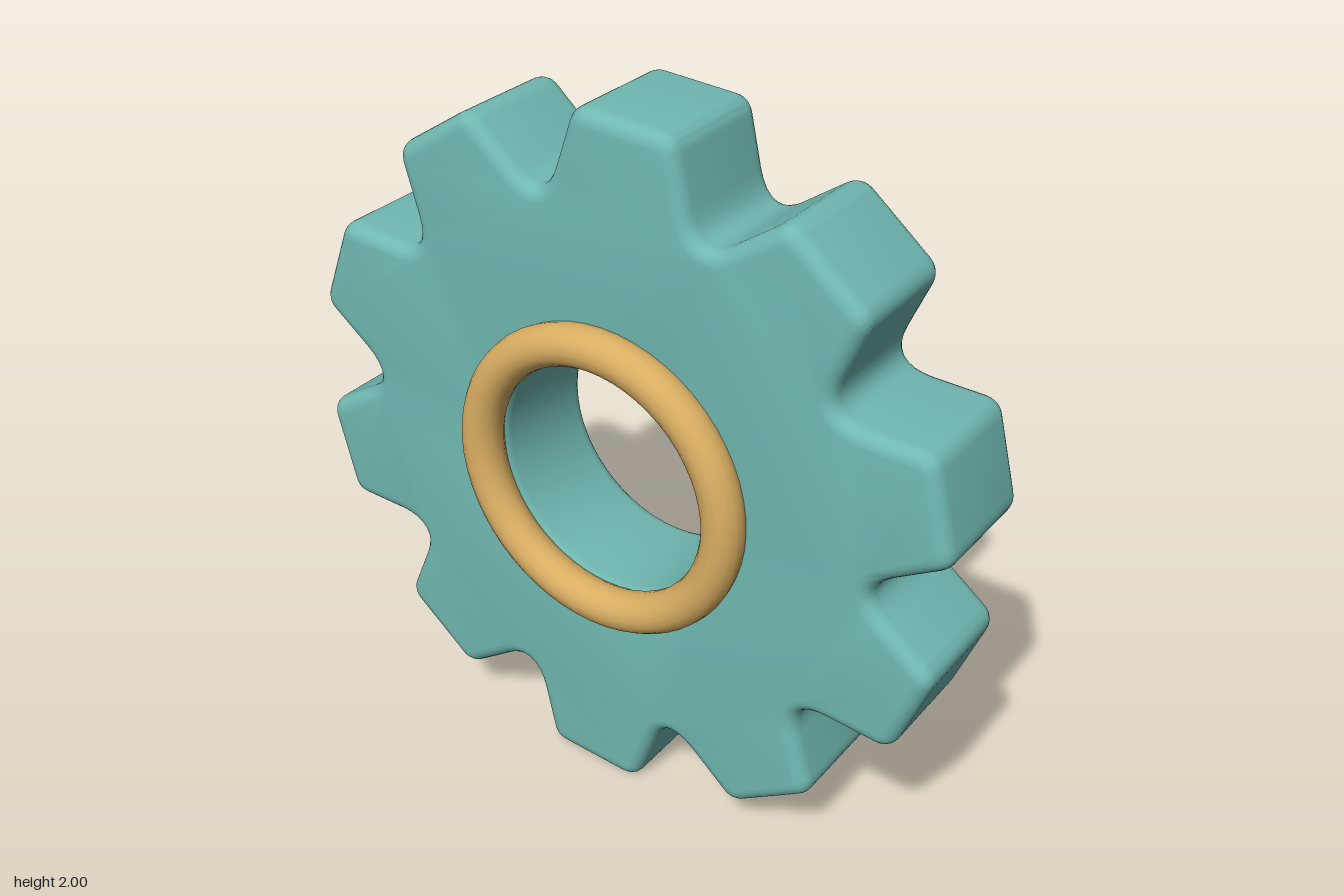
import * as THREE from 'three';
import { toCreasedNormals } from 'three/addons/utils/BufferGeometryUtils.js';

const TEETH = 10;
const TILT = THREE.MathUtils.degToRad(3); // clockwise turn of the wheel
const BEVEL = 0.04;

// Half tooth measured along (t) and out from (r) the tooth's own axis
const BASE = [0.195, 0.82];
const TIP = [0.145, 0.994];
const ROUND = 0.045;

function gearShape() {
  const shape = new THREE.Shape();
  const step = (Math.PI * 2) / TEETH;
  // Point in tooth i's frame -> wheel plane, running clockwise
  const at = (i, t, r) => {
    const a = TILT + i * step;
    return [r * Math.sin(a) + t * Math.cos(a), r * Math.cos(a) - t * Math.sin(a)];
  };
  const flank = Math.hypot(TIP[0] - BASE[0], TIP[1] - BASE[1]);
  const k = ROUND / flank;
  const cut = [TIP[0] + (BASE[0] - TIP[0]) * k, TIP[1] + (BASE[1] - TIP[1]) * k];

  shape.moveTo(...at(0, -BASE[0], BASE[1]));
  for (let i = 0; i < TEETH; i++) {
    // Tooth with rounded tip corners
    shape.lineTo(...at(i, -cut[0], cut[1]));
    shape.quadraticCurveTo(...at(i, -TIP[0], TIP[1]), ...at(i, -TIP[0] + ROUND, TIP[1]));
    shape.lineTo(...at(i, TIP[0] - ROUND, TIP[1]));
    shape.quadraticCurveTo(...at(i, TIP[0], TIP[1]), ...at(i, cut[0], cut[1]));
    shape.lineTo(...at(i, BASE[0], BASE[1]));
    // Rounded valley to the next tooth
    shape.quadraticCurveTo(...at(i + 0.5, 0, 0.742), ...at(i + 1, -BASE[0], BASE[1]));
  }

  // Central bore
  const bore = [];
  for (let i = 0; i < 56; i++) {
    const a = (i / 56) * Math.PI * 2;
    bore.push(new THREE.Vector2(0.34 * Math.cos(a), 0.34 * Math.sin(a)));
  }
  shape.holes.push(new THREE.Path(bore));
  return shape;
}

export function createModel() {
  const teal = new THREE.MeshStandardMaterial({ name: 'teal', color: 0x70b8b1 });
  const gold = new THREE.MeshStandardMaterial({ name: 'gold', color: 0xd9ae62 });

  const group = new THREE.Group();
  group.name = 'gear';

  // Toothed wheel with softened edges
  const wheelGeometry = new THREE.ExtrudeGeometry(gearShape(), {
    depth: 0.36 - 2 * BEVEL,
    bevelEnabled: true,
    bevelThickness: BEVEL,
    bevelSize: BEVEL,
    bevelOffset: -BEVEL,
    bevelSegments: 5,
    curveSegments: 8,
  });
  wheelGeometry.translate(0, 0, BEVEL - 0.22);
  const wheel = new THREE.Mesh(toCreasedNormals(wheelGeometry, 0.7), teal);
  wheel.name = 'toothedWheel';
  wheel.position.y = 1;
  group.add(wheel);

  // Ring around the bore on the front face
  const ring = new THREE.Mesh(new THREE.TorusGeometry(0.3875, 0.0575, 16, 56), gold);
  ring.name = 'boreRing';
  ring.position.set(0, 1.002, 0.162);
  group.add(ring);

  return group;
}
